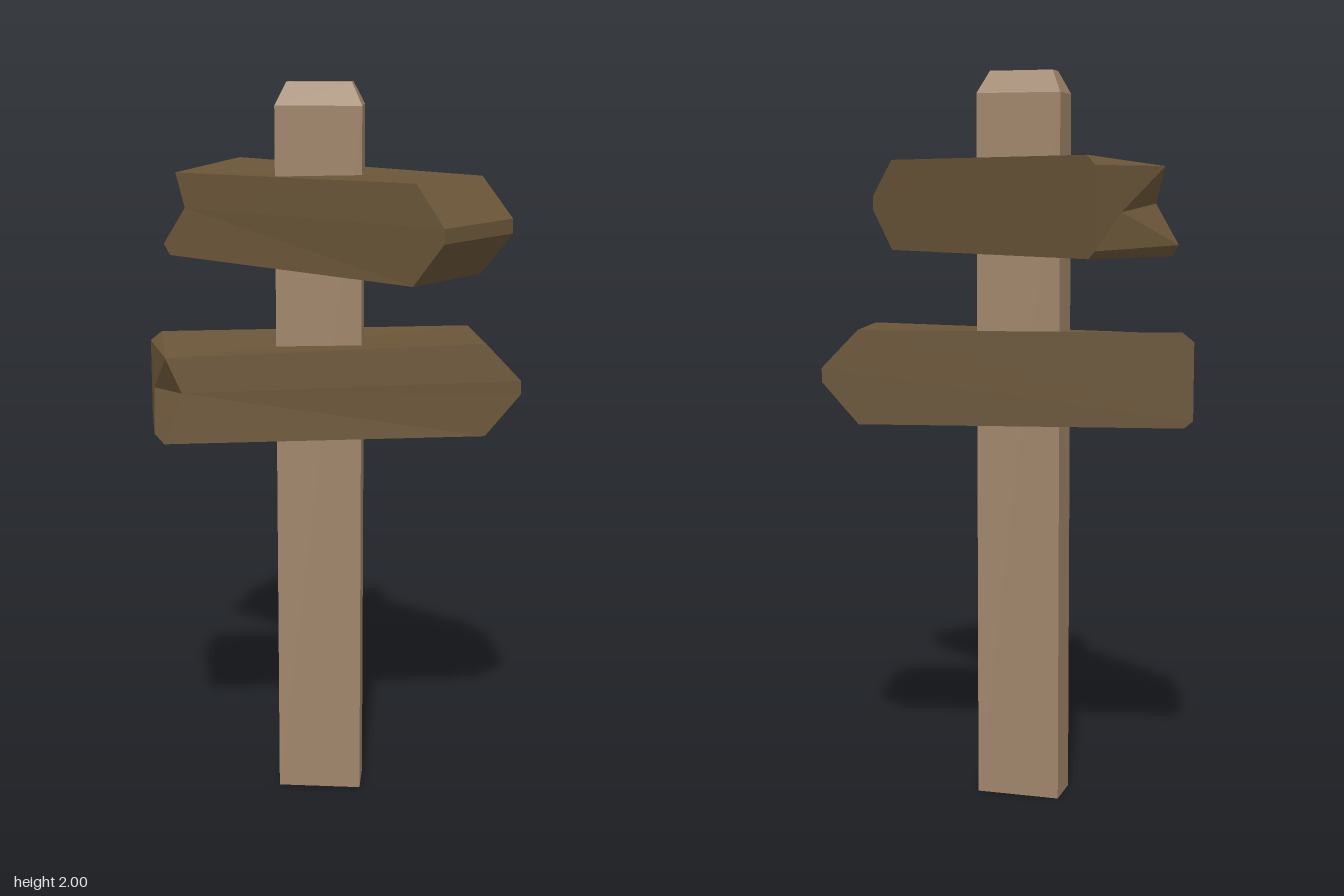
import * as THREE from 'three';

const postWood = new THREE.MeshStandardMaterial({ color: 0xa0856a });
postWood.name = 'post wood';
const boardWood = new THREE.MeshStandardMaterial({ color: 0x6a5538 });
boardWood.name = 'board wood';

// Flat-shaded solid from named corners and polygons (each drawn as a fan)
function facetedSolid(corners, polygons) {
  const pos = [];
  for (const poly of polygons) {
    for (let i = 1; i < poly.length - 1; i++) {
      for (const key of [poly[0], poly[i], poly[i + 1]]) pos.push(...corners[key]);
    }
  }
  const geo = new THREE.BufferGeometry();
  geo.setAttribute('position', new THREE.Float32BufferAttribute(pos, 3));
  geo.computeVertexNormals();
  return geo;
}

// Arrow board: pointed at +x, split and broken at -x
function boardGeometry() {
  // Matching outlines, clockwise from the upper broken corner: [x, y, z]
  const front = [
    [-0.462, 0.23, 0.123], [0.4, 0.255, 0.134], [0.497, 0.152, 0.143],
    [0.497, 0.114, 0.143], [0.4, 0, 0.143], [-0.47, 0, 0.143], [-0.495, 0.03, 0.142],
  ];
  const back = [
    [-0.468, 0.255, -0.143], [0.4, 0.255, -0.143], [0.499, 0.152, -0.143],
    [0.499, 0.114, -0.143], [0.4, 0, -0.143], [-0.475, 0, -0.143], [-0.499, 0.02, -0.143],
  ];
  const corners = {
    notch: [-0.42, 0.135, 0.13],
    splitTip: [-0.492, 0.115, -0.05],
    backUpper: [-0.499, 0.23, -0.143],
  };
  front.forEach((p, i) => { corners['f' + i] = p; });
  back.forEach((p, i) => { corners['b' + i] = p; });

  const polygons = [
    ['notch', 'f6', 'f5', 'f4', 'f3', 'f2', 'f1', 'f0'],             // front face
    ['b6', 'backUpper', 'b0', 'b1', 'b2', 'b3', 'b4', 'b5'],         // back face
    ['f0', 'b0', 'backUpper'],                                       // chipped top edge
    ['splitTip', 'backUpper', 'b6', 'f6', 'notch', 'f0', 'backUpper'], // split end
  ];
  for (let i = 0; i < 6; i++) {
    polygons.push(['f' + i, 'f' + (i + 1), 'b' + (i + 1), 'b' + i]);
  }
  return facetedSolid(corners, polygons);
}

// Square post with a bevelled top
function postGeometry() {
  const w = 0.232, d = 0.115, bevel = 0.029;
  const geo = new THREE.BoxGeometry(w, 2, d, 1, 2, 1).toNonIndexed();
  const p = geo.attributes.position;
  for (let i = 0; i < p.count; i++) {
    const y = p.getY(i);
    if (y > 0.5) {
      p.setX(i, Math.sign(p.getX(i)) * (w / 2 - bevel));
      p.setZ(i, Math.sign(p.getZ(i)) * (d / 2 - bevel));
    }
    p.setY(i, y > 0.5 ? 2 : y > -0.5 ? 1.94 : 0);
  }
  geo.computeVertexNormals();
  return geo;
}

export function createModel() {
  const model = new THREE.Group();
  model.name = 'signpost';

  const post = new THREE.Mesh(postGeometry(), postWood);
  post.name = 'post';
  post.position.set(-0.036, 0, -0.022);
  model.add(post);

  const board = boardGeometry();
  const addBoard = (name, x, y, z, degrees) => {
    const mesh = new THREE.Mesh(board, boardWood);
    mesh.name = name;
    mesh.position.set(x, y, z);
    mesh.rotation.y = THREE.MathUtils.degToRad(degrees);
    model.add(mesh);
  };
  addBoard('upperBoard', -0.01, 1.514, -0.002, -36.2);
  addBoard('lowerBoard', -0.001, 1.057, -0.026, 10.6);

  return model;
}
